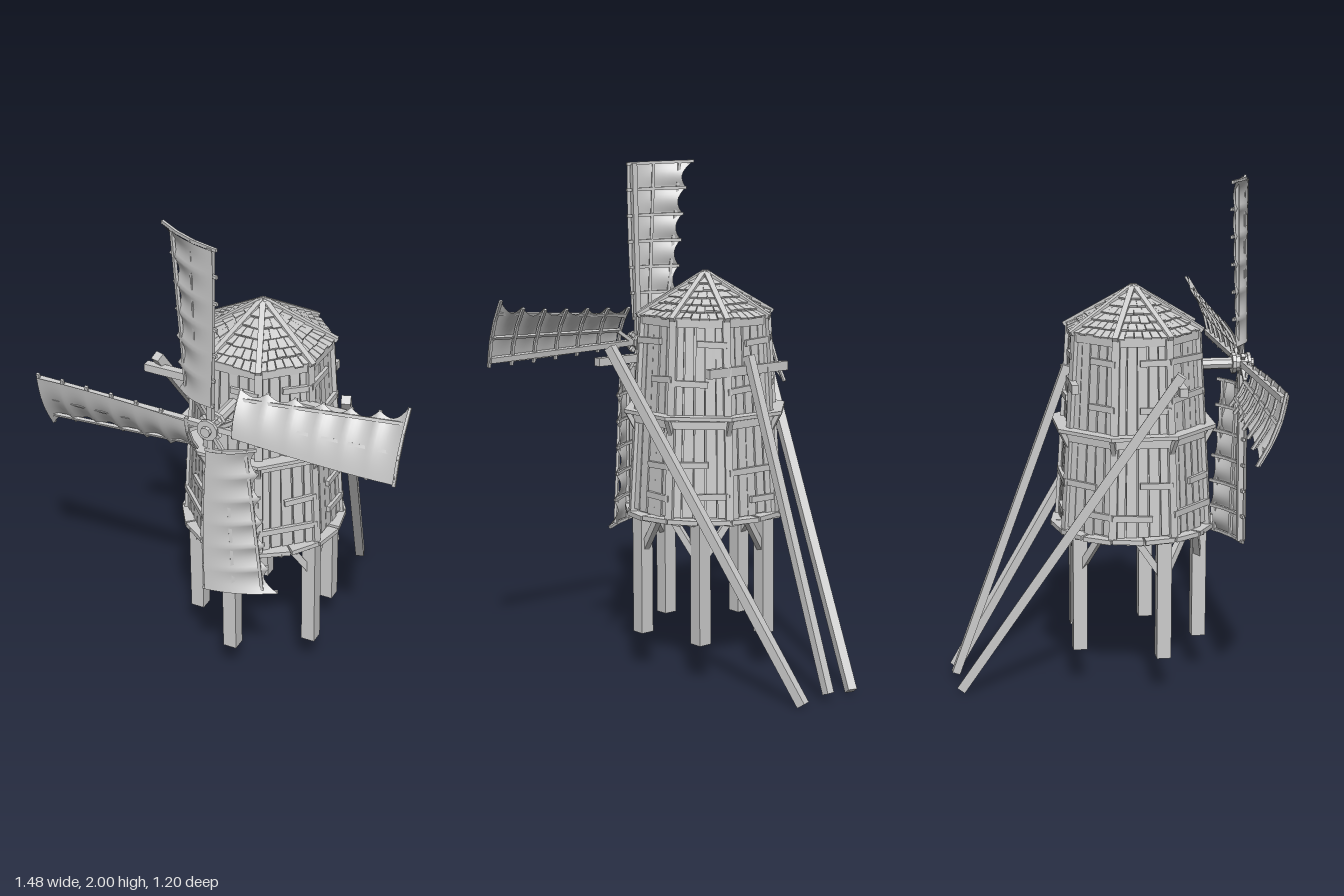
import * as THREE from 'three';
import { mergeGeometries } from 'three/addons/utils/BufferGeometryUtils.js';

const V = (x, y, z) => new THREE.Vector3(x, y, z);
const mat = new THREE.MeshStandardMaterial({ color: 0xcccccc, flatShading: true });
const sailMat = new THREE.MeshStandardMaterial({ color: 0xcccccc, side: THREE.DoubleSide });
const TAN = Math.tan(Math.PI / 8);
const CZ = 0.125; // tower axis
const lerp = THREE.MathUtils.lerp;

export function createModel() {
  const model = new THREE.Group();
  model.name = 'windmill';
  let seed = 7;
  const rnd = () => (seed = (seed * 16807) % 2147483647) / 2147483647;
  const jit = (s) => (rnd() - 0.5) * s;

  function part(name, geos, parent = model) {
    const mesh = new THREE.Mesh(mergeGeometries(geos), mat);
    mesh.name = name;
    parent.add(mesh);
    return mesh;
  }
  // Square timber between two points
  function beam(a, b, w, h = w) {
    const m = new THREE.Matrix4().lookAt(a, b, V(0, 1, 0));
    m.setPosition(a.clone().lerp(b, 0.5));
    return new THREE.BoxGeometry(w, h, a.distanceTo(b)).applyMatrix4(m);
  }
  // Four-cornered board, corners counter-clockwise from outside
  function slab(a, b, c, d, t) {
    const n = b.clone().sub(a).cross(d.clone().sub(a)).normalize();
    const g = new THREE.BoxGeometry(1, 1, 1);
    const p = g.attributes.position;
    for (let i = 0; i < p.count; i++) {
      const u = p.getX(i) + 0.5, v = p.getY(i) + 0.5;
      const q = a.clone().lerp(b, u).lerp(d.clone().lerp(c, u), v).addScaledVector(n, p.getZ(i) * t);
      p.setXYZ(i, q.x, q.y, q.z);
    }
    g.computeVertexNormals();
    return g;
  }
  // Point on side i of an octagon: apothem r, u from -1 to 1 across the side
  function oct(i, r, u, y) {
    const a = (i * Math.PI) / 4, s = Math.sin(a), c = Math.cos(a), w = u * r * TAN;
    return V(s * r + c * w, y, c * r - s * w + CZ);
  }
  const wallR = (y) => lerp(0.277, 0.235, (y - 0.65) / 0.75);

  // Tower core, planks, corner posts and battens
  const core = new THREE.CylinderGeometry(0.228 / Math.cos(Math.PI / 8), 0.27 / Math.cos(Math.PI / 8), 0.76, 8)
    .rotateY(Math.PI / 8).translate(0, 1.03, CZ);
  part('towerCore', [core]);
  const planks = [], posts = [], battens = [];
  for (let i = 0; i < 8; i++) {
    const N = 5;
    for (const [lo, hi] of [[0.65, 1.04], [1.04, 1.42]]) {
      for (let k = 0; k < N; k++) {
        const u0 = -1 + (2 * k) / N + 0.015 + rnd() * 0.02, u1 = -1 + (2 * (k + 1)) / N - 0.015 - rnd() * 0.02;
        const y0 = lo + rnd() * 0.015, y1 = hi - rnd() * 0.015, o = jit(0.006);
        planks.push(slab(oct(i, wallR(y0) + o, u0, y0), oct(i, wallR(y0) + o, u1, y0),
          oct(i, wallR(y1) + o, u1 + jit(0.03), y1), oct(i, wallR(y1) + o, u0 + jit(0.03), y1), 0.012));
      }
    }
    posts.push(beam(oct(i, wallR(0.65), 1, 0.65), oct(i, wallR(1.42), 1, 1.42), 0.03));
    for (const y of [0.72 + rnd() * 0.03, 0.86 + jit(0.04), 1.17 + jit(0.04), 1.33]) {
      const r = wallR(y) + 0.012, left = rnd() < 0.4 ? -0.1 : -1, right = left > -1 || rnd() < 0.5 ? 1 : 0.3;
      battens.push(beam(oct(i, r, left, y + jit(0.012)), oct(i, r, right, y + jit(0.012)), 0.014, 0.024));
    }
  }
  part('wallPlanks', planks);
  part('cornerPosts', posts);
  part('wallBattens', battens);

  // Middle shelf ring with brackets, and eave band
  const shelf = [], eave = [];
  for (let i = 0; i < 8; i++) {
    shelf.push(slab(oct(i, 0.308, -1, 1.05), oct(i, 0.308, 1, 1.05), oct(i, 0.255, 1, 1.05), oct(i, 0.255, -1, 1.05), 0.014));
    shelf.push(beam(oct(i, wallR(0.98), 1, 0.97), oct(i, 0.295, 1, 1.045), 0.018));
    shelf.push(beam(oct(i, 0.268, -1, 1.02), oct(i, 0.268, 1, 1.02), 0.014, 0.03));
    eave.push(beam(oct(i, 0.237, -1, 1.41), oct(i, 0.237, 1, 1.41), 0.022, 0.035));
  }
  part('shelfRing', shelf);
  part('eaveBand', eave);

  // Shingled roof with hip battens
  const roofAt = (i, t, u, lift = 0) => oct(i, 0.252 * (1 - t), u, 1.415 + 0.165 * t + lift);
  const roofCore = new THREE.CylinderGeometry(0, 0.245 / Math.cos(Math.PI / 8), 0.165, 8)
    .rotateY(Math.PI / 8).translate(0, 1.495, CZ);
  part('roofCore', [roofCore]);
  const tiles = [], hips = [];
  const ROWS = 7;
  for (let i = 0; i < 8; i++) {
    for (let r = 0; r < ROWS; r++) {
      const n = Math.max(1, 6 - r), t0 = r / ROWS, t1 = Math.min(0.99, (r + 1.1) / ROWS);
      for (let k = 0; k < n; k++) {
        const u0 = -1 + (2 * k) / n + 0.015, u1 = -1 + (2 * (k + 1)) / n - 0.015;
        const s = t0 + jit(0.025), lift = 0.009 + rnd() * 0.005;
        tiles.push(slab(roofAt(i, s, u0, lift), roofAt(i, s, u1, lift), roofAt(i, t1, u1, 0.003), roofAt(i, t1, u0, 0.003), 0.008));
      }
    }
    hips.push(beam(roofAt(i, -0.02, 1, 0.012), roofAt(i, 0.99, 1, 0.008), 0.022, 0.018));
  }
  part('roofShingles', tiles);
  part('roofHips', hips);

  // Round platform: parallel floor boards and a rim
  const floor = [], rim = [];
  for (let k = 0; k < 13; k++) {
    const z = -0.276 + k * 0.046, half = Math.sqrt(0.305 ** 2 - z * z);
    floor.push(new THREE.BoxGeometry(half * 2, 0.016, 0.043).translate(0, 0.64 + jit(0.004), z + CZ));
  }
  const polar = (a, r, y) => V(Math.cos(a) * r, y, Math.sin(a) * r + CZ);
  for (let k = 0; k < 16; k++) {
    const a = ((k + 0.03) * Math.PI) / 8, b = ((k + 0.97) * Math.PI) / 8, y = 0.646 + jit(0.006);
    rim.push(slab(polar(b, 0.325, y), polar(a, 0.325, y), polar(a, 0.25, y), polar(b, 0.25, y), 0.018));
  }
  part('platformFloor', floor);
  part('platformRim', rim);

  // Five legs, each with two braces
  for (const [x, z] of [[0.25, 0.215], [-0.01, 0.39], [-0.25, 0.21], [-0.11, -0.1], [0.195, -0.075]]) {
    const out = V(x, 0, z - CZ).normalize(), side = V(-out.z, 0, out.x);
    const geos = [beam(V(x, 0.16, z), V(x, 0.64, z), 0.056)];
    for (const s of [-1, 1])
      geos.push(beam(V(x, 0.48, z), V(x, 0.635, z).addScaledVector(side, s * 0.1).addScaledVector(out, -0.03), 0.026));
    part('leg', geos);
  }

  // Long props and the cross beams that hold them
  part('rightProp', [beam(V(-0.39, 1.31, 0.25), V(-0.14, 0.02, -0.57), 0.036)]);
  part('leftProp', [beam(V(0.39, 1.31, 0.23), V(0.12, 0.02, -0.58), 0.036)]);
  part('backProp', [beam(V(0, 1.28, -0.135), V(-0.005, 0.04, -0.585), 0.032)]);
  part('crossBeams', [
    beam(V(-0.44, 1.255, 0.25), V(0.44, 1.255, 0.25), 0.032),
    beam(V(-0.2, 1.225, -0.125), V(0.2, 1.225, -0.125), 0.026, 0.036),
  ]);

  // Rotor: axle, hub and four blades
  const rotor = new THREE.Group();
  rotor.name = 'rotor';
  rotor.position.set(0, 1.27, 0);
  model.add(rotor);
  const drum = (r, z0, z1, n = 10) => new THREE.CylinderGeometry(r, r, z1 - z0, n).rotateX(Math.PI / 2).translate(0, 0, (z0 + z1) / 2);
  part('axle', [drum(0.023, 0.3, 0.57, 8)], rotor);
  const hub = [drum(0.042, 0.515, 0.53), drum(0.035, 0.53, 0.575), drum(0.042, 0.575, 0.588), drum(0.02, 0.588, 0.603, 8)];
  for (let k = 0; k < 8; k++) {
    const a = (k * Math.PI) / 4;
    hub.push(beam(V(Math.cos(a) * 0.03, Math.sin(a) * 0.03, 0.555), V(Math.cos(a) * 0.052, Math.sin(a) * 0.052, 0.555), 0.016));
  }
  part('hub', hub, rotor);

  // Sail surface: u from straight to ragged edge, v from root to tip
  const RIBS = 6;
  function sailAt(u, v, back = 0) {
    const ragged = 0.155 + 0.035 * v + 0.04 * v ** 8 - 0.034 * Math.abs(Math.sin(RIBS * Math.PI * v)) * (0.7 + 0.3 * v);
    return V(lerp(0.012 + 0.02 * Math.sin(v * 2), -ragged, u), 0.095 + 0.63 * v + 0.008 * u * v,
      0.578 - (0.075 + 0.03 * v) * u + 0.018 * Math.sin(Math.PI * u) - back);
  }
  for (let b = 0; b < 4; b++) {
    const blade = new THREE.Group();
    blade.name = 'blade';
    blade.rotation.z = (b * Math.PI) / 2;
    rotor.add(blade);
    const g = new THREE.PlaneGeometry(1, 1, 8, 48), p = g.attributes.position;
    for (let i = 0; i < p.count; i++) {
      const q = sailAt(0.5 - p.getX(i), p.getY(i) + 0.5);
      p.setXYZ(i, q.x, q.y, q.z);
    }
    g.computeVertexNormals();
    const sail = new THREE.Mesh(g, sailMat);
    sail.name = 'sail';
    blade.add(sail);
    // Frame behind the cloth
    const frame = [beam(V(0, 0, 0.555), sailAt(0.06, 1, 0.018), 0.022)];
    for (const u of [0.4, 0.78]) frame.push(beam(sailAt(u, 0, 0.016), sailAt(u, 1, 0.016), 0.012));
    frame.push(beam(V(0, 0.03, 0.55), sailAt(0.4, 0.02, 0.016), 0.014));
    for (let k = 0; k <= RIBS; k++) {
      const v = k / RIBS, pts = [-0.05, 0.33, 0.66, 0.98].map((u) => sailAt(u, v, 0.014));
      for (let j = 0; j < 3; j++) frame.push(beam(pts[j], pts[j + 1], 0.01, 0.012));
    }
    part('bladeFrame', frame, blade);
  }
  return model;
}
